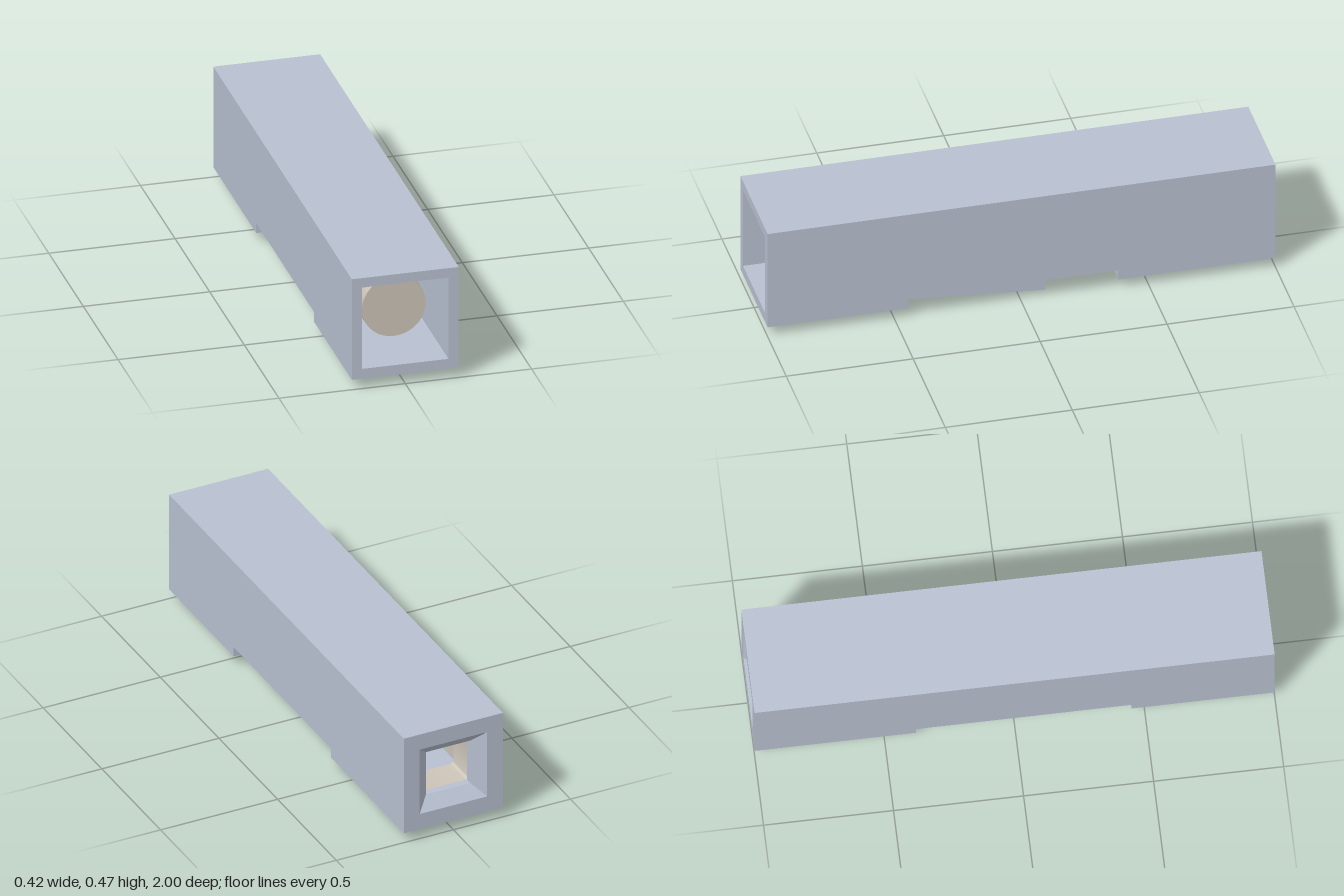
import * as THREE from 'three';
import { toCreasedNormals } from 'three/addons/utils/BufferGeometryUtils.js';

const CY = 0.2535; // height of the long axis
const HALF = 0.2115; // half width of the housing

export function createModel() {
  const model = new THREE.Group();
  const shellMat = new THREE.MeshStandardMaterial({ color: 0xb8c0d0 });
  const coreMat = new THREE.MeshStandardMaterial({ color: 0xccc4b8 });

  function add(name, geometry, material) {
    const mesh = new THREE.Mesh(geometry, material);
    mesh.name = name;
    model.add(mesh);
    return mesh;
  }

  // Extrude an x-y outline from z0 to z1
  function prism(shape, z0, z1) {
    const g = new THREE.ExtrudeGeometry(shape, { depth: z1 - z0, bevelEnabled: false, curveSegments: 10 });
    g.translate(0, 0, z0);
    return toCreasedNormals(g, 0.6);
  }

  // Square with rounded corners, centred on the axis
  function roundedSquare(Type, h, r) {
    const s = new Type();
    const c = h - r;
    s.absarc(c, CY + c, r, 0, Math.PI / 2);
    s.absarc(-c, CY + c, r, Math.PI / 2, Math.PI);
    s.absarc(-c, CY - c, r, Math.PI, Math.PI * 1.5);
    s.absarc(c, CY - c, r, Math.PI * 1.5, Math.PI * 2);
    s.closePath();
    return s;
  }

  // Housing: roof and both side walls in one channel
  const channel = new THREE.Shape([
    [-HALF, 0.083], [-0.171, 0.083], [-0.171, 0.425], [0.171, 0.425],
    [0.171, 0.083], [HALF, 0.083], [HALF, 0.465], [-HALF, 0.465],
  ].map(([x, y]) => new THREE.Vector2(x, y)));
  add('housingChannel', prism(channel, -0.925, 1), shellMat);

  // Floor plates either side of the underside opening
  for (const [name, z0, z1] of [['frontFloor', 0.45, 1], ['rearFloor', -0.925, -0.38]]) {
    const floor = add(name, new THREE.BoxGeometry(HALF * 2, 0.041, z1 - z0), shellMat);
    floor.position.set(0, 0.0625, (z0 + z1) / 2);
  }

  // Rear plate with a square funnel opening
  const profile = [
    [HALF, 0.925], [HALF, 1], [0.144, 1], [0.095, 0.955], [0.095, 0.925], [HALF, 0.925],
  ].map(([r, y]) => new THREE.Vector2(r * Math.SQRT2, y));
  const plate = new THREE.LatheGeometry(profile, 4, Math.PI / 4).rotateX(-Math.PI / 2).toNonIndexed();
  plate.computeVertexNormals();
  plate.translate(0, CY, 0);
  add('rearPlate', plate, shellMat);

  // Wedge lever under the opening, drawn in side profile
  const wedge = new THREE.Shape([
    [-0.45, 0.042], [0.11, 0], [0.11, 0.12], [-0.45, 0.083],
  ].map(([x, y]) => new THREE.Vector2(x, y)));
  const lever = new THREE.ExtrudeGeometry(wedge, { depth: 0.3, bevelEnabled: false });
  lever.translate(0, 0, -0.15).rotateY(Math.PI / 2);
  add('wedgeLever', lever, shellMat);

  // Square sleeve: closed at both ends, open below in the middle
  const H = 0.13, R = 0.03, WALL = 0.0145;
  const ring = roundedSquare(THREE.Shape, H + 0.007, R);
  ring.holes.push(roundedSquare(THREE.Path, H + 0.007 - WALL, R - WALL));
  add('sleeveRear', prism(ring, -0.925, -0.756), coreMat);
  add('sleeveFront', prism(ring, -0.4, -0.2), coreMat);

  const o = H + 0.007, i = o - WALL, c = o - R;
  const arch = new THREE.Shape();
  arch.moveTo(o, 0.155);
  arch.absarc(c, CY + c, R, 0, Math.PI / 2);
  arch.absarc(-c, CY + c, R, Math.PI / 2, Math.PI);
  arch.lineTo(-o, 0.155);
  arch.lineTo(-i, 0.155);
  arch.absarc(-c, CY + c, R - WALL, Math.PI, Math.PI / 2, true);
  arch.absarc(c, CY + c, R - WALL, Math.PI / 2, 0, true);
  arch.lineTo(i, 0.155);
  arch.closePath();
  add('sleeveMiddle', prism(arch, -0.756, -0.4), coreMat);

  // Round rod in front of the sleeve
  const rod = new THREE.CylinderGeometry(0.126, 0.126, 1.036, 64).rotateX(Math.PI / 2);
  add('rod', rod, coreMat).position.set(0, CY, 0.318);

  return model;
}
